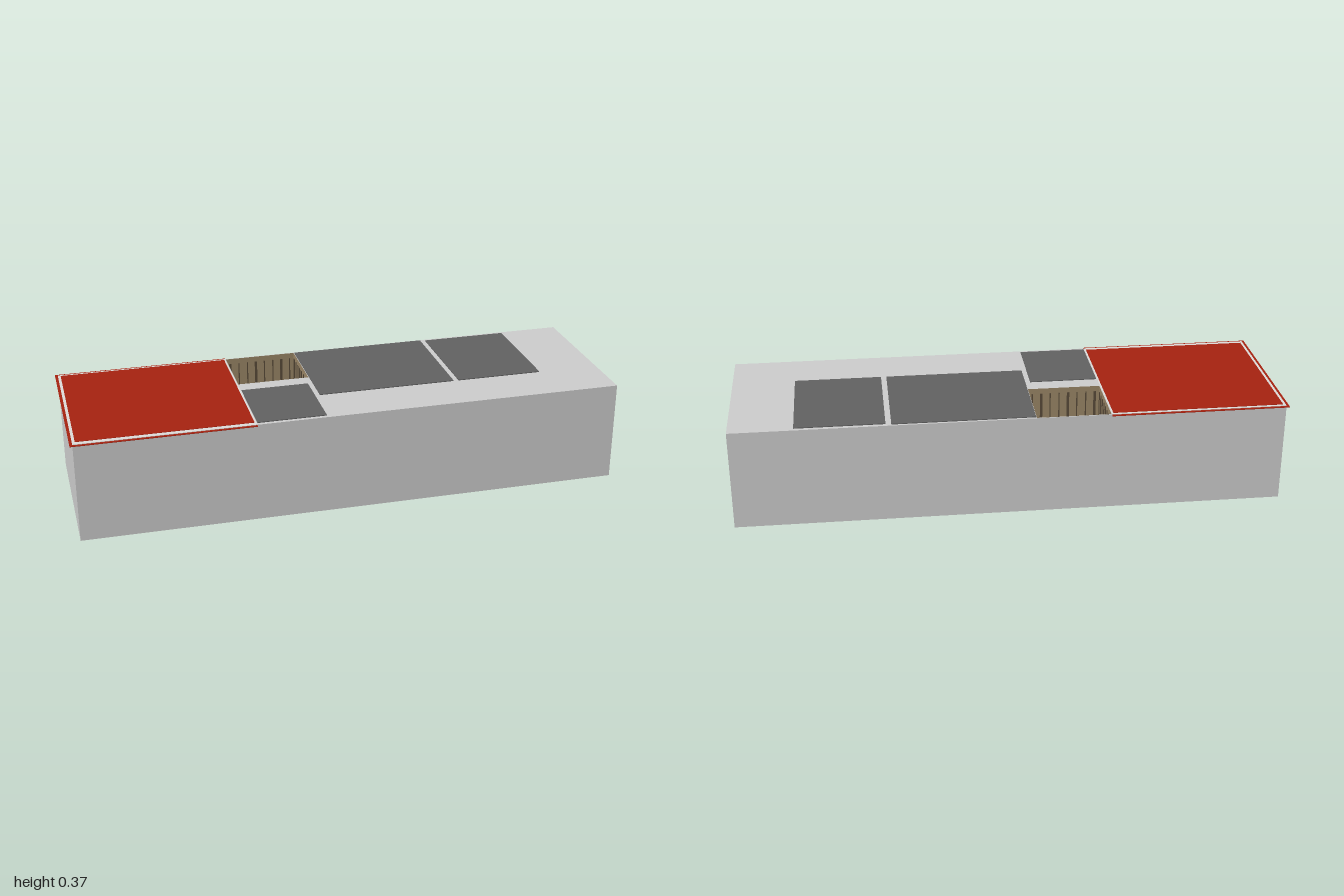
import * as THREE from 'three';

const mat = (name, color, side = THREE.FrontSide) => {
  const m = new THREE.MeshStandardMaterial({ color, side });
  m.name = name;
  return m;
};

export function createModel() {
  const concrete = mat('concrete grey', 0xcfcfcf, THREE.DoubleSide);
  const hatchGrey = mat('hatch grey', 0x626262);
  const red = mat('roof red', 0xa82210);
  const trim = mat('pale trim', 0xe0dedb);
  const timber = mat('tan timber', 0x9c8868, THREE.DoubleSide);
  const darkWood = mat('dark timber', 0x5a4c3a);
  const water = mat('water blue', 0x0f3f85);
  const rockGrey = mat('rock grey', 0x707070);
  const rockDark = mat('rock dark grey', 0x4c4c4e);
  const sand = mat('sand', 0xb39a70);

  const model = new THREE.Group();
  const add = (name, geometry, material, x = 0, y = 0, z = 0, parent = model) => {
    const mesh = new THREE.Mesh(geometry, material);
    mesh.name = name;
    mesh.position.set(x, y, z);
    parent.add(mesh);
    return mesh;
  };
  // Box given by its limits
  const block = (name, material, x0, x1, y0, y1, z0, z1, parent) =>
    add(name, new THREE.BoxGeometry(x1 - x0, y1 - y0, z1 - z0), material,
      (x0 + x1) / 2, (y0 + y1) / 2, (z0 + z1) / 2, parent);

  const X0 = -0.99, X1 = 0.998, Z = 0.305, H = 0.371;
  const pit = { x0: -0.352, x1: -0.085, z0: -0.302, z1: -0.055, floor: 0.13 };

  // Hollow body: four walls, base, and a top pierced by the courtyard
  const body = new THREE.Group();
  body.name = 'body';
  model.add(body);
  const cx = (X0 + X1) / 2, w = X1 - X0;
  add('frontWall', new THREE.PlaneGeometry(w, H), concrete, cx, H / 2, Z, body);
  add('backWall', new THREE.PlaneGeometry(w, H), concrete, cx, H / 2, -Z, body).rotation.y = Math.PI;
  add('leftWall', new THREE.PlaneGeometry(2 * Z, H), concrete, X1, H / 2, 0, body).rotation.y = Math.PI / 2;
  add('rightWall', new THREE.PlaneGeometry(2 * Z, H), concrete, X0, H / 2, 0, body).rotation.y = -Math.PI / 2;
  add('base', new THREE.PlaneGeometry(w, 2 * Z), concrete, cx, 0, 0, body).rotation.x = Math.PI / 2;
  const rect = (T, x0, x1, z0, z1) => new T([[x0, -z1], [x1, -z1], [x1, -z0], [x0, -z0]]
    .map(p => new THREE.Vector2(...p)));
  const topShape = rect(THREE.Shape, X0, X1, -Z, Z);
  topShape.holes.push(rect(THREE.Path, pit.x0, pit.x1, pit.z0, pit.z1));
  add('top', new THREE.ShapeGeometry(topShape), concrete, 0, H, 0, body).rotation.x = -Math.PI / 2;

  // Red roof panel, pale surround and overhanging edge
  block('roofEdge', red, -1, -0.354, H - 0.003, H - 0.001, -0.315, 0.315);
  block('roofSurround', trim, X0, -0.354, H, H + 0.0008, -Z, Z);
  block('roofPanel', red, -0.98, -0.36, H, H + 0.002, -0.295, 0.287);

  // Dark hatches
  for (const [x0, x1, z0, z1] of [
    [-0.083, 0.428, -0.297, 0.114],
    [0.448, 0.768, -0.291, 0.114],
    [-0.351, -0.102, 0.006, 0.291],
  ]) block('hatch', hatchGrey, x0, x1, H, H + 0.003, z0, z1);

  // Sunken courtyard with plank-lined walls
  const yard = new THREE.Group();
  yard.name = 'courtyard';
  model.add(yard);
  const pw = pit.x1 - pit.x0, pd = pit.z1 - pit.z0, ph = H - pit.floor;
  const px = (pit.x0 + pit.x1) / 2, pz = (pit.z0 + pit.z1) / 2, py = pit.floor + ph / 2;
  for (const s of [-1, 1]) {
    add('liningLong', new THREE.PlaneGeometry(pw, ph), timber, px, py, pz + s * pd / 2, yard)
      .rotation.y = s > 0 ? Math.PI : 0;
    add('liningShort', new THREE.PlaneGeometry(pd, ph), timber, px + s * pw / 2, py, pz, yard)
      .rotation.y = -s * Math.PI / 2;
    for (let i = 0; i < 8; i++) {
      const t = (i + 0.5) / 8 - 0.5, thick = i % 3 ? 0.004 : 0.009;
      add('plankGap', new THREE.BoxGeometry(thick, ph - 0.02, 0.003), darkWood,
        px + t * pw, py - 0.01, pz + s * (pd / 2 - 0.0015), yard);
      add('plankGap', new THREE.BoxGeometry(0.003, ph - 0.02, thick), darkWood,
        px + s * (pw / 2 - 0.0015), py - 0.01, pz + t * pd, yard);
    }
  }
  block('pool', water, pit.x0, pit.x1, pit.floor, pit.floor + 0.005, pit.z0, pit.z1, yard);

  // Irregular rock slabs: x, z, half width, half depth, height, material
  const rocks = [
    [-0.32, -0.26, 0.026, 0.032, 0.05, rockGrey],
    [-0.305, -0.19, 0.04, 0.022, 0.04, rockDark],
    [-0.27, -0.245, 0.022, 0.04, 0.03, sand],
    [-0.265, -0.2, 0.022, 0.022, 0.06, rockGrey],
    [-0.235, -0.275, 0.025, 0.022, 0.05, rockDark],
    [-0.19, -0.255, 0.03, 0.042, 0.07, rockGrey],
    [-0.185, -0.17, 0.036, 0.055, 0.08, rockGrey],
    [-0.19, -0.1, 0.028, 0.035, 0.06, rockDark],
    [-0.235, -0.17, 0.016, 0.03, 0.03, sand],
    [-0.125, -0.25, 0.032, 0.042, 0.06, rockGrey],
    [-0.13, -0.185, 0.022, 0.03, 0.03, sand],
    [-0.11, -0.15, 0.02, 0.03, 0.05, rockGrey],
    [-0.17, -0.075, 0.05, 0.014, 0.04, rockGrey],
    [-0.25, -0.09, 0.025, 0.014, 0.03, rockGrey],
  ];
  rocks.forEach(([x, z, rx, rz, h, material], k) => {
    const pts = [];
    for (let i = 0; i < 9; i++) {
      const a = i / 9 * Math.PI * 2, r = 0.85 + 0.22 * Math.sin(i * 2.7 + k * 1.9);
      pts.push(new THREE.Vector2(Math.cos(a) * rx * r, Math.sin(a) * rz * r));
    }
    const geo = new THREE.ExtrudeGeometry(new THREE.Shape(pts), { depth: h, bevelEnabled: false });
    add('rock', geo, material, x, pit.floor, z, yard).rotation.x = -Math.PI / 2;
  });

  return model;
}
